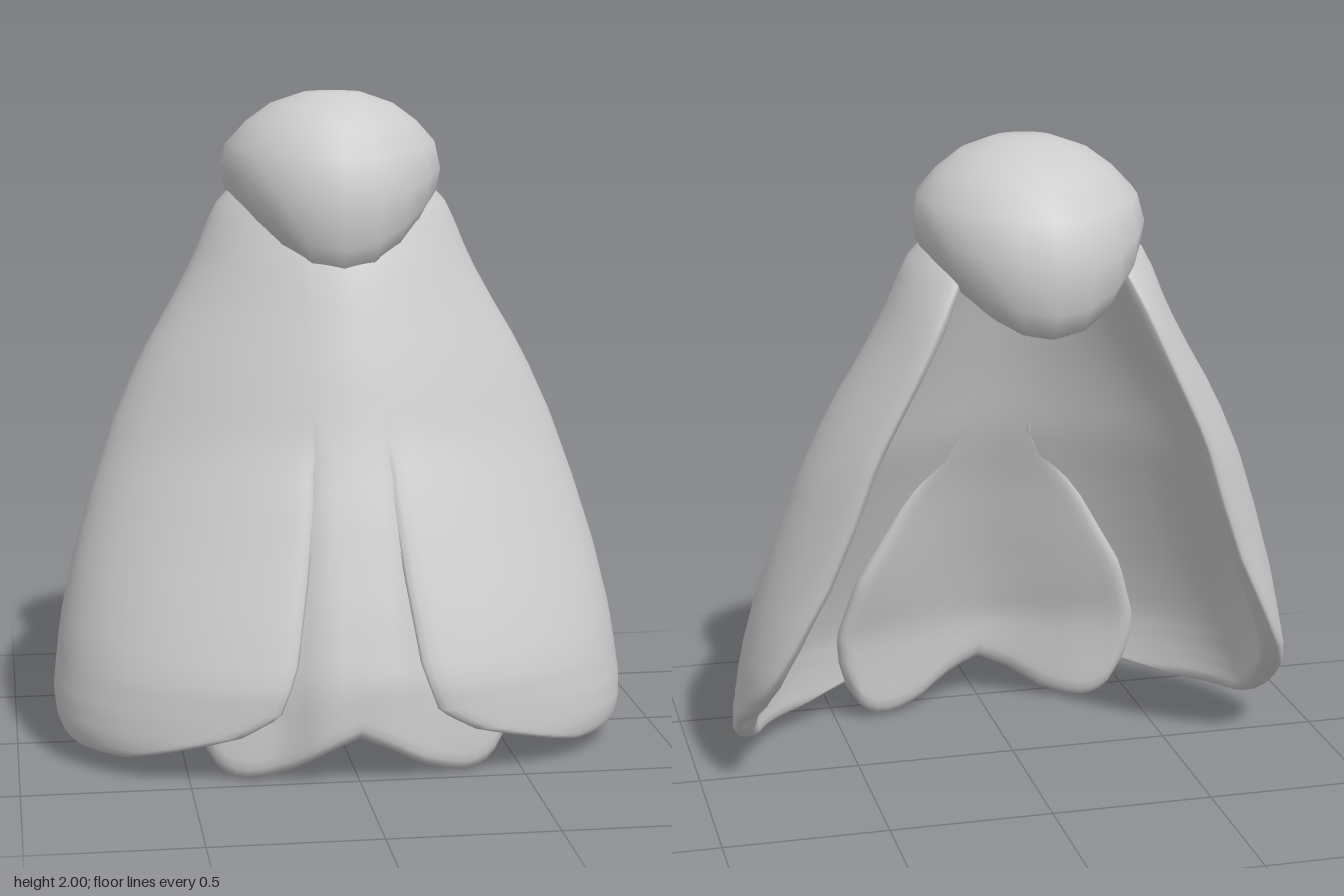
import * as THREE from 'three';
import { mergeGeometries, mergeVertices } from 'three/addons/utils/BufferGeometryUtils.js';

const { smoothstep } = THREE.MathUtils;
const THICK = 0.075;
const TOP = 1.72; // upper end of the cape, inside the cap
const SLIT = 0.95; // upper end of the two front slits

// Piecewise-linear lookup in [key, value] pairs
function look(table, k) {
  if (k <= table[0][0]) return table[0][1];
  for (let i = 1; i < table.length; i++) {
    const [a, va] = table[i - 1], [b, vb] = table[i];
    if (k <= b) return va + (vb - va) * (k - a) / (b - a);
  }
  return table[table.length - 1][1];
}

// Cape dimensions by height: half width, front, centre, back edge (z and x), inner (slit) edge
const halfWidth = [[0.06, 0.87], [0.13, 0.885], [0.2, 0.885], [0.4, 0.86], [0.6, 0.815], [0.8, 0.755],
  [1, 0.685], [1.2, 0.595], [1.4, 0.475], [1.5, 0.425], [1.6, 0.385], [1.66, 0.355], [TOP, 0.3]];
const frontZ = [[0.06, 0.55], [0.3, 0.54], [0.5, 0.485], [0.8, 0.39], [1, 0.315], [1.2, 0.26], [1.5, 0.165], [TOP, 0.06]];
const centreZ = [[0, 0.03], [1, -0.1], [1.6, -0.15]];
const backZ = [[0.06, 0.22], [0.08, 0.13], [0.17, 0], [0.26, -0.125], [0.36, -0.225], [0.5, -0.285], [0.7, -0.33],
  [0.9, -0.365], [1.1, -0.39], [1.4, -0.42], [1.5, -0.415], [1.6, -0.39], [TOP, -0.33]];
const backX = [[0.15, 0.88], [0.26, 0.86], [0.36, 0.82], [0.5, 0.75], [0.7, 0.65], [0.9, 0.575],
  [1.1, 0.51], [1.4, 0.365], [1.5, 0.32], [1.6, 0.27], [TOP, 0.2]];
const innerX = [[0.06, 0.7], [0.08, 0.62], [0.1, 0.54], [0.15, 0.35], [0.2, 0.26], [0.22, 0.235],
  [0.35, 0.185], [0.6, 0.145], [0.8, 0.12], [SLIT, 0.11]];
const squareness = (y) => 2.25 - 0.5 * smoothstep(y, 0.15, 1);

// Surface through rows of points; flip for a mirrored copy
function skin(rows, mirror = 1) {
  const pos = [], idx = [], n = rows[0].length;
  for (const row of rows) for (const p of row) pos.push(p[0] * mirror, p[1], p[2]);
  for (let i = 0; i < rows.length - 1; i++) {
    for (let j = 0; j < n - 1; j++) {
      const a = i * n + j, b = a + 1, c = a + n, d = c + 1;
      if (mirror > 0) idx.push(a, b, d, a, d, c);
      else idx.push(a, d, b, a, c, d);
    }
  }
  const g = new THREE.BufferGeometry();
  g.setAttribute('position', new THREE.Float32BufferAttribute(pos, 3));
  g.setIndex(idx);
  return g;
}

function smooth(g) {
  g.deleteAttribute('normal');
  g.deleteAttribute('uv');
  const m = mergeVertices(g, 1e-4);
  m.computeVertexNormals();
  return m;
}

const roundEdge = (d, r) => Math.sqrt(Math.max(0, 1 - (1 - Math.min(1, d / r)) ** 2));

// One padded wing of the cape, row by row from the hem up
function wingRows() {
  const heights = [0.06, 0.065, 0.075, 0.09, 0.11, 0.13, 0.15, 0.175, 0.2, 0.22, 0.26, 0.3, 0.36, 0.42, 0.5, 0.6,
    0.7, 0.8, 0.87, 0.92, SLIT, 0.98, 1.02, 1.07, 1.15, 1.25, 1.35, 1.45, 1.52, 1.6, 1.66, TOP];
  const cols = 24, quarter = Math.PI / 2;
  return heights.map((y) => {
    const W = look(halfWidth, y), zc = look(centreZ, y), D = look(frontZ, y) - zc, n = squareness(y);
    const zOut = look(backZ, y), depth = zc - zOut, curl = Math.max(0, W - look(backX, y));
    const start = Math.asin((look(innerX, y) / W) ** (n / 2));
    const end = depth > 0 ? quarter + depth * 2.2 : quarter - Math.asin((-depth / D) ** (n / 2));
    const joined = smoothstep(y, 0.85, 1); // the slit edge fades into the front panel
    const outer = [], inner = [];
    for (let k = 0; k <= cols; k++) {
      const f = start + (end - start) * (1 - Math.cos(Math.PI * k / cols)) / 2;
      let x, z, nx, nz;
      if (f <= quarter) {
        // superellipse round the front
        const s = Math.sin(f), c = Math.max(0, Math.cos(f)), e = 2 / n;
        x = W * s ** e;
        z = zc + D * c ** e;
        nx = s ** (2 - e) / W;
        nz = c ** (2 - e) / D;
      } else {
        // parabola curling in to the back edge
        const u = (f - quarter) / (end - quarter);
        x = W - curl * u * u;
        z = zc - depth * u;
        nx = depth;
        nz = -2 * curl * u;
      }
      const len = Math.hypot(nx, nz);
      const slitEdge = roundEdge(Math.max(0, 0.6 * (f - start)), 0.045);
      const backEdge = roundEdge(Math.max(0, 0.5 * (end - f)), 0.045);
      const h = THICK * (slitEdge + (1 - slitEdge) * joined) * backEdge * roundEdge(y - 0.06, 0.045);
      const near = (THICK - h) * 0.25, far = near + h;
      outer.push([x - nx / len * near, y, z - nz / len * near]);
      inner.unshift([x - nx / len * far, y, z - nz / len * far]);
    }
    return [...outer, ...inner];
  });
}

// Front panel running down between the slits into a two-lobed tail behind the wings
function tailRows() {
  const width = [[0.12, 0.465], [0.2, 0.49], [0.3, 0.5], [0.5, 0.44], [0.75, 0.295], [0.9, 0.185], [1, 0.114]];
  const hem = [[0, 0.14], [0.2, 0.1], [0.45, 0.03], [0.6, 0.008], [0.75, 0], [0.88, 0.03], [1, 0.12]];
  const rows = [], nv = 28, cols = 28;
  for (let i = 0; i <= nv; i++) {
    const v = (i / nv) ** 1.5, outer = [], inner = [];
    for (let k = 0; k <= cols; k++) {
      const s = -Math.cos(Math.PI * k / cols);
      const low = look(hem, Math.abs(s)), y = low + (TOP - low) * v;
      const w = look(width, y), x = s * w, ax = Math.abs(x), n = squareness(y);
      const zc = look(centreZ, y), D = look(frontZ, y) - zc;
      const shell = zc + D * (1 - (ax / look(halfWidth, y)) ** n) ** (1 / n);
      const free = 1 - smoothstep(y, 0.85, 1);
      const near = 0.001 + (0.005 + 0.06 * smoothstep(ax, 0.1, 0.24)) * free;
      const far = THICK + 0.001 + 0.07 * smoothstep(ax, 0, 0.35) * (1 - smoothstep(y, 0.4, 1));
      const side = roundEdge(w - ax, 0.05);
      const h = (far - near) * (1 + (side - 1) * free) * roundEdge(y - low, 0.05);
      const mid = shell - near * 0.6 - far * 0.4;
      outer.push([x, y, mid + h * 0.4]);
      inner.unshift([x, y, mid - h * 0.6]);
    }
    rows.push([...outer, ...inner]);
  }
  return rows;
}

// Rounded cap whose rim droops at the front and back
function capGeometry() {
  const profile = [[0, 1.55], [0.15, 1.56], [0.24, 1.6], [0.3, 1.655], [0.33, 1.705], [0.342, 1.77], [0.325, 1.84],
    [0.265, 1.905], [0.19, 1.96], [0.09, 1.995], [0, 2]].map(([r, y]) => new THREE.Vector2(r, y));
  const g = new THREE.LatheGeometry(profile, 20);
  const p = g.attributes.position;
  for (let i = 0; i < p.count; i++) {
    const x = p.getX(i), y = p.getY(i), z = p.getZ(i), r = Math.hypot(x, z);
    const c = r > 1e-4 ? Math.abs(z) / r : 0;
    const low = 1 - smoothstep(y, 1.65, 1.9);
    const droop = 0.185 * c ** (z > 0 ? 2.6 : 2) * low * smoothstep(r, 0.08, 0.31);
    const up = Math.max(0, (y - 1.78) / 0.22);
    const depth = 1.1 - (z > 0 ? 0.17 : 0.06) * Math.min(1, up * 2);
    p.setXYZ(i, x, y - droop, z * depth - 0.172 + 0.05 * up);
  }
  return smooth(g);
}

export function createModel() {
  const group = new THREE.Group();
  const grey = new THREE.MeshStandardMaterial({ color: 0xcccccc });
  grey.name = 'light grey';
  const add = (name, geometry) => {
    const mesh = new THREE.Mesh(geometry, grey);
    mesh.name = name;
    group.add(mesh);
  };
  const wing = wingRows();
  add('capeWings', smooth(mergeGeometries([skin(wing, 1), skin(wing, -1)])));
  add('frontPanelAndTail', smooth(skin(tailRows())));
  add('cap', capGeometry());
  return group;
}
